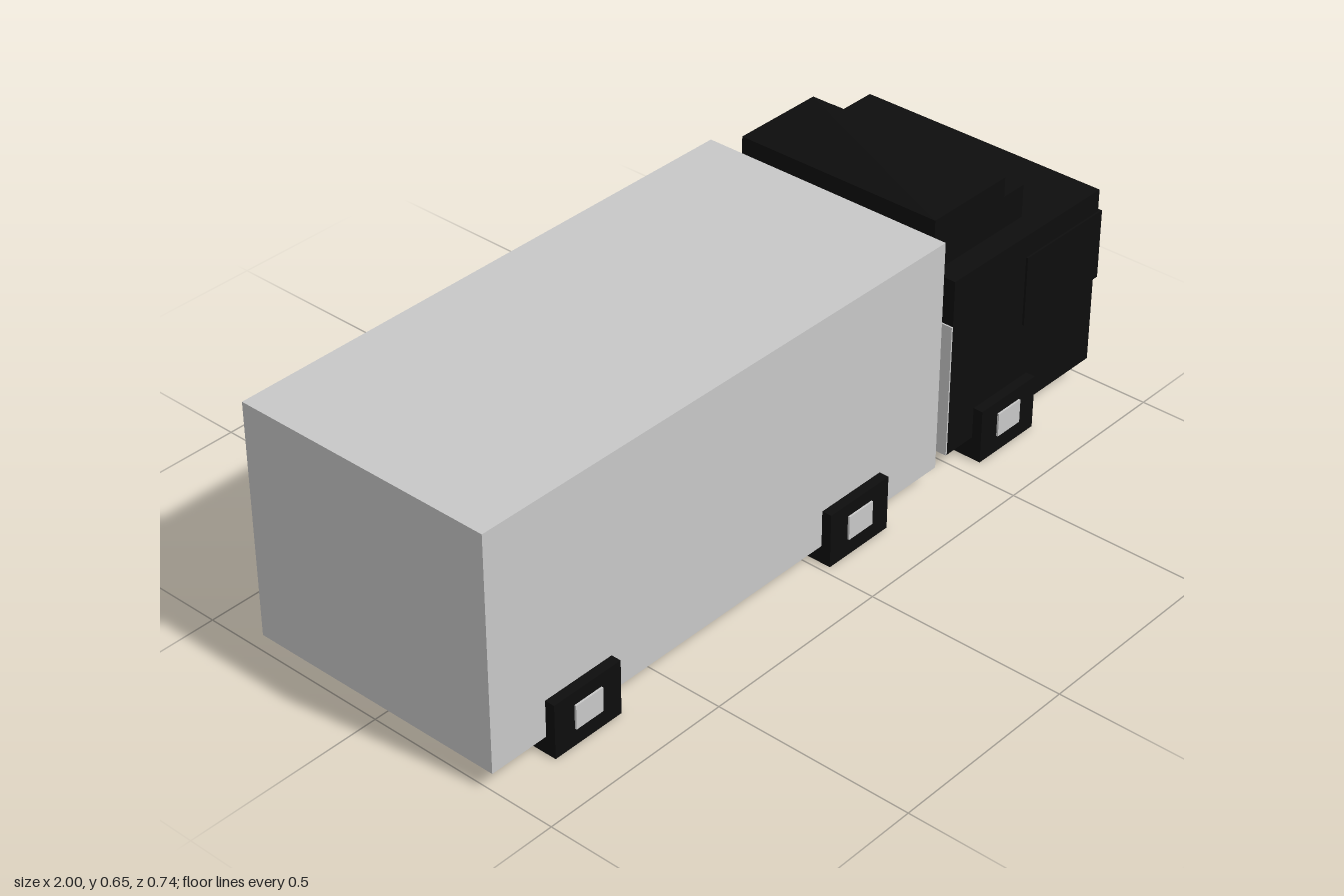
import * as THREE from 'three';

const paint = (name, color) => {
  const m = new THREE.MeshStandardMaterial({ color });
  m.name = name;
  return m;
};

export function createModel() {
  const truck = new THREE.Group();
  truck.name = 'truck';
  const lightGrey = paint('light grey', 0xc8c8c8);
  const midGrey = paint('mid grey', 0x909090);
  const darkGrey = paint('dark grey', 0x656565);
  const black = paint('black', 0x0d0d0d);

  // Box given by its extents along each axis
  const block = (name, material, [x0, x1], [y0, y1], [z0, z1], parent = truck) => {
    const mesh = new THREE.Mesh(new THREE.BoxGeometry(x1 - x0, y1 - y0, z1 - z0), material);
    mesh.position.set((x0 + x1) / 2, (y0 + y1) / 2, (z0 + z1) / 2);
    mesh.name = name;
    parent.add(mesh);
    return mesh;
  };

  // Cargo container
  block('cargoBox', lightGrey, [-1, 0.418], [0.045, 0.636], [-0.336, 0.339]);

  // Cab with a stepped roof
  const cab = new THREE.Group();
  cab.name = 'cab';
  truck.add(cab);
  block('cabBody', black, [0.459, 0.991], [0.058, 0.517], [-0.336, 0.339], cab);
  block('lowerRoof', black, [0.457, 0.777], [0.517, 0.6], [-0.276, 0.279], cab);
  block('upperRoof', black, [0.457, 0.706], [0.6, 0.65], [-0.276, 0.279], cab);
  block('wrapWindow', black, [0.72, 1], [0.281, 0.46], [-0.341, 0.344], cab);
  block('rearPanel', lightGrey, [0.455, 0.459], [0.058, 0.4], [-0.336, 0.339], cab);

  // Front face plates
  block('grille', midGrey, [0.99, 0.995], [0.058, 0.196], [-0.163, 0.166], cab);
  for (const side of [-1, 1]) {
    const span = (a, b) => [side * a, side * b].sort((p, q) => p - q);
    block('headlight', lightGrey, [0.99, 0.995], [0.195, 0.257], span(0.164, 0.33), cab);
    block('bumperCorner', darkGrey, [0.99, 0.994], [0.058, 0.16], span(0.165, 0.336), cab);
  }

  // Square wheels with hub plates; the two sides are slightly staggered
  const axles = [
    { name: 'rear', left: -0.747, right: -0.747 },
    { name: 'middle', left: 0.118, right: 0.08 },
    { name: 'front', left: 0.65, right: 0.668 },
  ];
  for (const axle of axles) {
    for (const side of [1, -1]) {
      const x = side > 0 ? axle.left : axle.right;
      const span = (a, b) => [side * a, side * b].sort((p, q) => p - q);
      const wheel = new THREE.Group();
      wheel.name = axle.name + (side > 0 ? 'LeftWheel' : 'RightWheel');
      truck.add(wheel);
      block('tyre', black, [x - 0.098, x + 0.098], [0, 0.138], span(0.148, 0.364), wheel);
      block('hub', lightGrey, [x - 0.04, x + 0.04], [0.044, 0.105], span(0.36, 0.369), wheel);
    }
  }
  return truck;
}
